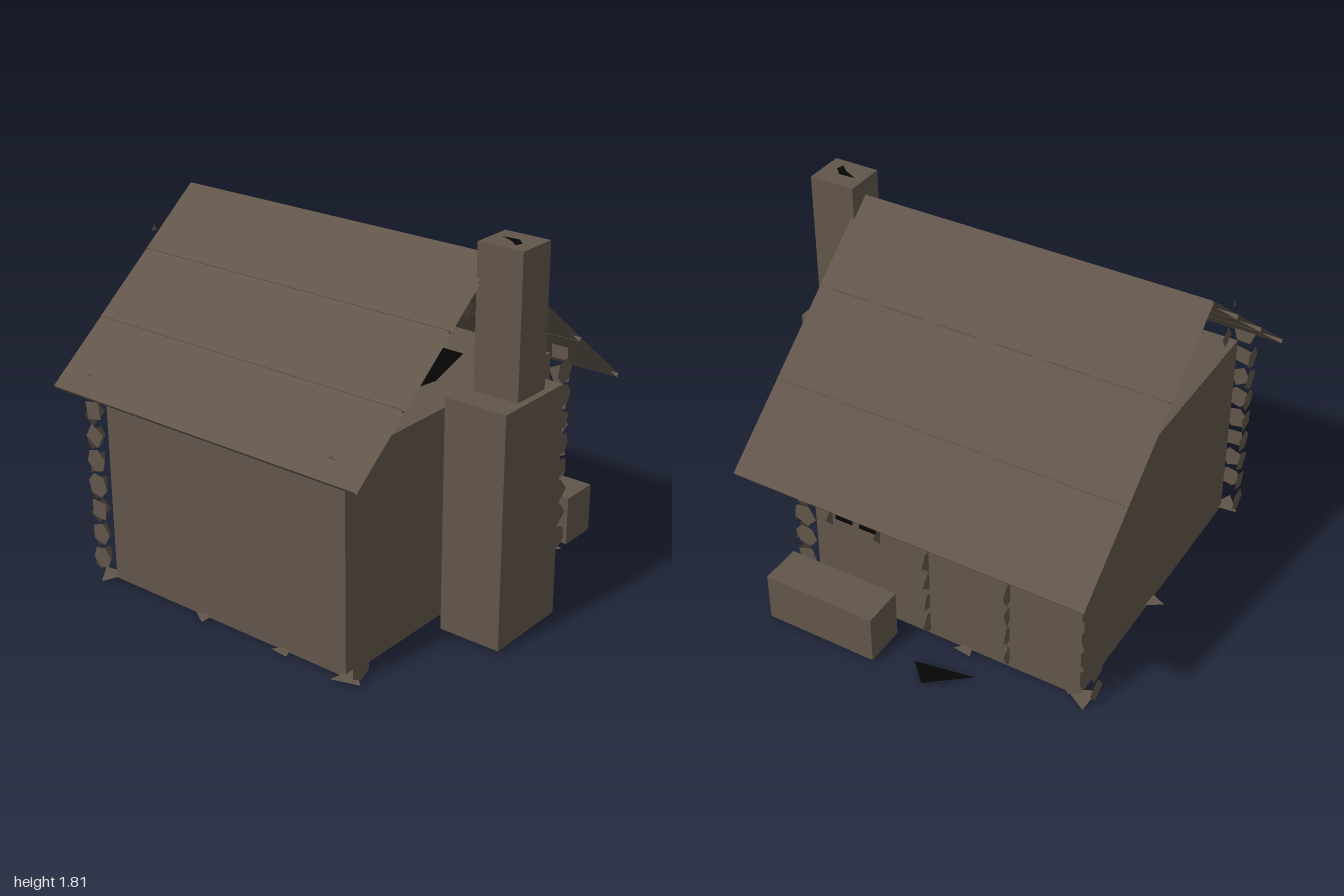
import * as THREE from 'three';

export function createModel() {
  const model = new THREE.Group();
  const material = (name, color) => {
    const m = new THREE.MeshStandardMaterial({ color, flatShading: true, side: THREE.DoubleSide });
    m.name = name;
    return m;
  };
  const wood = material('weathered brown', 0x61554a);
  const black = material('soot black', 0x050505);

  let seed = 7;
  const rand = () => (seed = (seed * 16807) % 2147483647) / 2147483647;

  function add(name, geometry, parent = model, mat = wood) {
    const mesh = new THREE.Mesh(geometry, mat);
    mesh.name = name;
    parent.add(mesh);
    return mesh;
  }
  function group(name) {
    const g = new THREE.Group();
    g.name = name;
    model.add(g);
    return g;
  }
  // box given by its minimum and maximum corners
  function box(name, a, b, mat = wood) {
    const mesh = add(name, new THREE.BoxGeometry(b[0] - a[0], b[1] - a[1], b[2] - a[2]), model, mat);
    mesh.position.set((a[0] + b[0]) / 2, (a[1] + b[1]) / 2, (a[2] + b[2]) / 2);
  }
  // flat horizontal patch from [x, z] points
  function patch(name, points, y) {
    const shape = new THREE.Shape(points.map(([x, z]) => new THREE.Vector2(x, z)));
    const mesh = add(name, new THREE.ShapeGeometry(shape), model, black);
    mesh.rotation.x = Math.PI / 2;
    mesh.position.y = y;
  }

  // main volumes
  box('walls', [-0.81, 0, -0.67], [0.585, 1.02, 0.84]);
  box('chimneyBase', [0.67, 0.012, -0.155], [0.98, 1.13, 0.28]);
  box('chimneyStack', [0.745, 1.148, -0.02], [0.97, 1.805, 0.18]);
  box('trough', [0.1, 0.008, -0.96], [0.67, 0.255, -0.755]);
  box('door', [-0.44, 0.02, -0.674], [-0.04, 0.95, -0.668]);

  // dark openings and soot
  for (const x of [0.25, 0.38]) box('windowPane', [x, 0.48, -0.675], [x + 0.09, 0.76, -0.669], black);
  patch('loftOpening', [[-0.6, -0.3], [-0.2, -0.4], [0.28, -0.4], [0.38, -0.05], [0.3, 0.45], [-0.45, 0.62], [-0.62, 0.55], [-0.6, 0.17]], 1.023);
  patch('floorOpening', [[0.06, 0.37], [0.13, 0.13], [0.09, 0.01], [0.01, -0.26], [-0.14, -0.35], [-0.21, -0.2], [-0.115, 0.185], [-0.126, 0.42]], -0.002);
  patch('chimneySoot', [[0.79, 0.065], [0.87, 0.06], [0.91, 0.1], [0.9, 0.135], [0.86, 0.1]], 1.807);
  patch('doorStep', [[-0.07, -0.87], [-0.355, -0.82], [-0.167, -0.97]], 0.012);

  // lapped roof boards, open at the gable ends
  const roof = group('roof');
  function slope(name, zEave, yEave) {
    const zRidge = 0.08, yRidge = 1.728, t = 0.02;
    const dz = (zEave - zRidge) / 3, dy = (yEave - yRidge) / 3;
    for (let i = 0; i < 3; i++) {
      const z0 = zRidge + dz * i, y0 = yRidge + dy * i - (i ? 0.0015 : 0);
      const z1 = z0 + dz, y1 = yRidge + dy * (i + 1);
      const g = new THREE.BoxGeometry(1.735, t, Math.hypot(z1 - z0, y1 - y0));
      g.setIndex(Array.from(g.index.array).slice(12));
      g.clearGroups();
      g.translate(0, (dz < 0 ? 1 : -1) * t / 2, 0);
      const board = add(name, g, roof);
      board.rotation.x = Math.atan2(y0 - y1, z1 - z0);
      board.position.set(-0.105, (y0 + y1) / 2, (z0 + z1) / 2);
    }
  }
  slope('frontRoofBoard', 1.0, 0.988);
  slope('backRoofBoard', -1.0, 0.857);

  // irregular flat log end; axis is the direction it faces
  function logEnd(name, parent, axis, x, y, z, radius = 0.061) {
    const sides = 4 + Math.floor(rand() * 3);
    const mesh = add(name, new THREE.CircleGeometry(radius * (0.92 + rand() * 0.12), sides, rand() * 6.28), parent);
    if (axis === 'x') mesh.rotation.y = Math.PI / 2;
    mesh.position.set(x, y, z);
  }

  // stacked log ends at the four corners
  const corners = group('cornerLogEnds');
  for (const side of [-1, 1]) {
    for (const face of [-1, 1]) {
      const x = -0.112 + side * 0.698, z = 0.085 + face * 0.755;
      for (let i = 0; i < 8; i++) {
        logEnd('longLogEnd', corners, 'z', x, 0.14 + i * 0.124, z + face * 0.082);
        logEnd('crossLogEnd', corners, 'x', x + side * 0.082, 0.08 + i * 0.124, z);
      }
    }
  }

  // log ends framing the door and window in the back wall
  const frames = group('openingLogEnds');
  for (const x of [-0.45, -0.03])
    for (let i = 0; i < 8; i++) logEnd('doorJambLogEnd', frames, 'x', x, 0.08 + i * 0.124, -0.67, 0.06);
  for (const x of [0.23, 0.49])
    for (let i = 3; i < 6; i++) logEnd('windowJambLogEnd', frames, 'x', x, 0.12 + i * 0.124, -0.67, 0.06);

  // roof beam ends under each slope
  const beams = group('roofBeamEnds');
  for (let i = 0; i < 3; i++) {
    for (const [x, z] of [[-0.9 + i * 0.13, 0.465], [0.67 - i * 0.15, -0.295]]) {
      const end = add('beamEnd', new THREE.CircleGeometry(0.05, 4, 0.2), beams);
      end.rotation.y = Math.PI / 2;
      end.position.set(x, 1.292, z);
    }
  }
  const tip = add('ridgeBeamTip', new THREE.CircleGeometry(0.022, 3, Math.PI / 2), beams);
  tip.rotation.y = Math.PI / 2;
  tip.position.set(-0.97, 1.565, 0.335);

  // flat chips lying around the footing
  const chips = group('footingChips');
  const spots = [[-0.83, 0.85], [0.61, 0.85], [-0.83, -0.68], [0.61, -0.68],
    [-0.22, 0.86], [0.25, 0.86], [0.38, -0.69], [-0.23, -0.69], [-0.83, 0.03], [0.61, 0.03]];
  spots.forEach(([x, z], i) => {
    const chip = add('chip', new THREE.CircleGeometry(i < 4 ? 0.08 : 0.055, 3, rand() * 6.28), chips);
    chip.rotation.x = -Math.PI / 2 + (rand() - 0.5) * 0.08;
    chip.position.set(x, 0.015, z);
  });

  return model;
}
